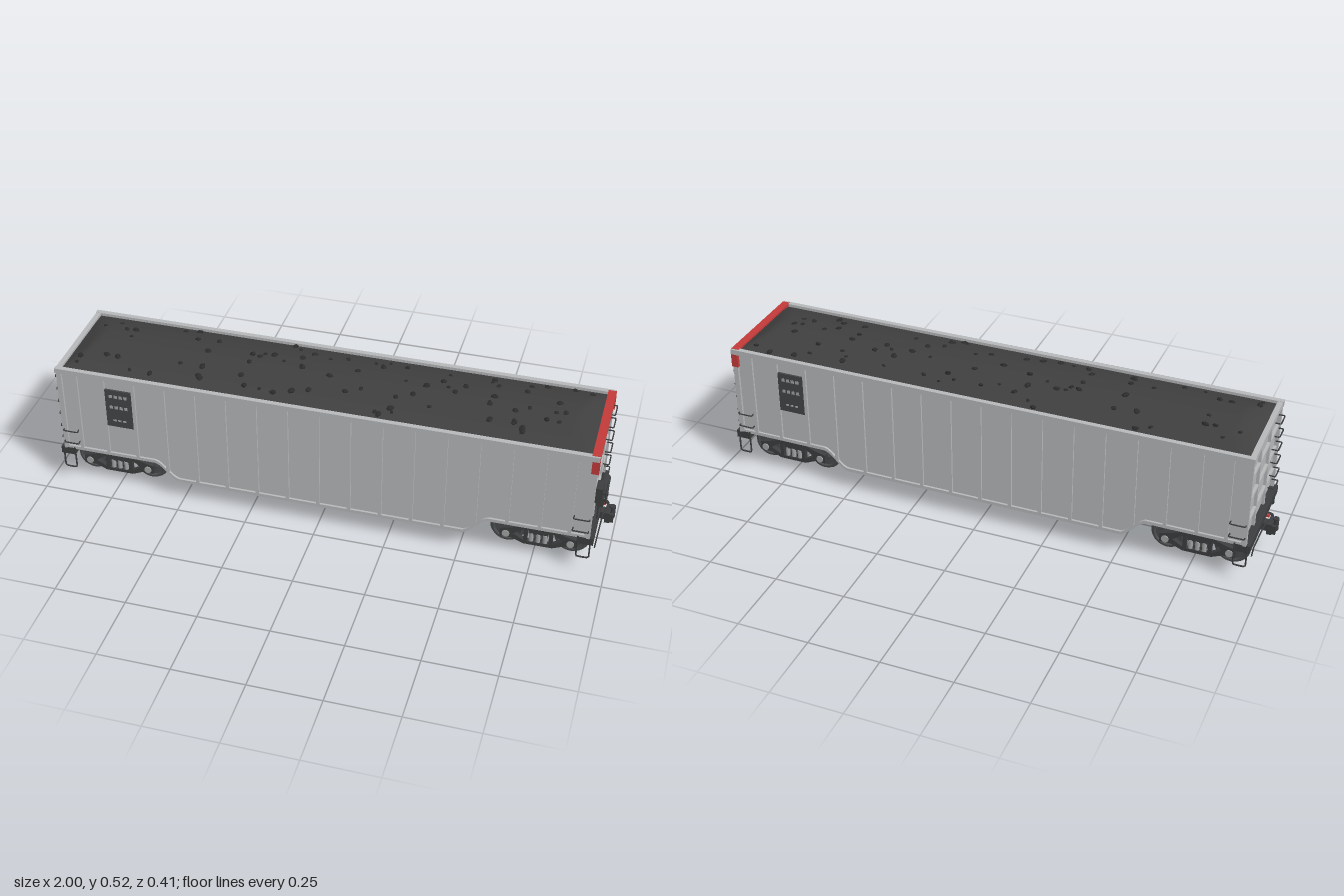
import * as THREE from 'three';
import { toCreasedNormals } from 'three/addons/utils/BufferGeometryUtils.js';

const mat = (name, color) => Object.assign(new THREE.MeshStandardMaterial({ color }), { name });
const M = {
  body: mat('body grey', 0xb6b8ba),
  iron: mat('dark iron', 0x3c3d3e),
  wheel: mat('wheel steel', 0x4a4b4c),
  coal: mat('coal', 0x3f3f3f),
  lump: mat('coal lumps', 0x2c2c2c),
  red: mat('red trim', 0xc23a3a),
  label: mat('panel charcoal', 0x434547),
  pale: mat('pale steel', 0xa2a3a4),
};

function add(parent, name, geo, material, x = 0, y = 0, z = 0) {
  const m = new THREE.Mesh(geo, material);
  m.name = name;
  m.position.set(x, y, z);
  parent.add(m);
  return m;
}

// box given by its limits on each axis
const box = (p, name, m, x0, x1, y0, y1, z0, z1) =>
  add(p, name, new THREE.BoxGeometry(x1 - x0, y1 - y0, z1 - z0), m, (x0 + x1) / 2, (y0 + y1) / 2, (z0 + z1) / 2);

// cylinder lying along z
const rodZ = (p, name, m, r, x, y, z0, z1, seg = 16) =>
  add(p, name, new THREE.CylinderGeometry(r, r, z1 - z0, seg).rotateX(Math.PI / 2), m, x, y, (z0 + z1) / 2);

function tube(p, name, m, r, pts, closed = false) {
  const curve = new THREE.CatmullRomCurve3(pts.map(a => new THREE.Vector3(...a)), closed, 'catmullrom', 0.1);
  return add(p, name, new THREE.TubeGeometry(curve, pts.length * 6, r, 6, closed), m);
}

const poly = pts => pts.map(([x, y]) => new THREE.Vector2(x, y));

// z-extrusion of an outline in x and y
function slab(pts, z0, z1, holes = []) {
  const s = new THREE.Shape(poly(pts));
  holes.forEach(h => s.holes.push(new THREE.Path(poly(h))));
  const g = new THREE.ExtrudeGeometry(s, { depth: z1 - z0, bevelEnabled: false });
  return toCreasedNormals(g.translate(0, 0, z0), 0.45);
}

// height of the dropped belly along the car
const belly = x => 0.08 + 0.067 * THREE.MathUtils.smoothstep(Math.abs(x), 0.505, 0.6);
const bellyLine = (half, lift = 0) => {
  const pts = [[-half, belly(half) + lift]];
  for (const s of [-1, 1])
    for (let i = 0; i <= 14; i++) {
      const x = s < 0 ? -0.605 + i * 0.0075 : 0.5 + i * 0.0075;
      pts.push([x, belly(x) + lift]);
    }
  pts.push([half, belly(half) + lift]);
  return pts;
};

// ribs, sill and marking panel of one side (facing +z)
function makeSide() {
  const g = new THREE.Group();
  g.name = 'side';
  add(g, 'bottomSill', slab([...bellyLine(0.935), ...bellyLine(0.935, 0.012).reverse()], 0.18, 0.192), M.body);
  const ribs = [-0.87, -0.77, 0.77, 0.87];
  for (let k = -6; k <= 6; k++) ribs.push(k * 0.11);
  for (const x of ribs) box(g, 'sideRib', M.body, x - 0.006, x + 0.006, belly(x) + 0.005, 0.475, 0.182, 0.192);
  for (const s of [-1, 1]) box(g, 'cornerPost', M.body, s * 0.93 - 0.009, s * 0.93 + 0.009, 0.147, 0.475, 0.178, 0.193);
  box(g, 'topChord', M.body, -0.942, 0.942, 0.47, 0.489, 0.179, 0.197);
  // marking panel with plain pale bars
  box(g, 'markingPanel', M.label, -0.765, -0.667, 0.278, 0.43, 0.183, 0.191);
  for (const [y, h, n] of [[0.405, 0.012, 4], [0.36, 0.012, 4], [0.305, 0.007, 3]])
    for (let i = 0; i < n; i++) {
      const x = -0.716 + (i - (n - 1) / 2) * 0.018;
      box(g, 'markingBar', M.pale, x - 0.006, x + 0.006, y - h / 2, y + h / 2, 0.19, 0.192);
    }
  return g;
}

// four-wheel truck centred on its own x = 0
function makeTruck() {
  const g = new THREE.Group();
  g.name = 'truck';
  const profile = poly([[0, -0.007], [0.018, -0.01], [0.024, -0.003], [0.045, -0.003], [0.05, -0.008],
    [0.062, -0.008], [0.062, -0.004], [0.056, -0.002], [0.055, 0.008], [0.048, 0.008], [0.044, 0.002],
    [0.024, 0.003], [0.018, 0.01], [0, 0.01]]);
  const wheelGeo = toCreasedNormals(new THREE.LatheGeometry(profile, 32).rotateX(Math.PI / 2), 0.5);
  for (const x of [-0.111, 0.111]) {
    rodZ(g, 'axle', M.wheel, 0.011, x, 0.062, -0.13, 0.13);
    for (const s of [-1, 1]) {
      add(g, 'wheel', wheelGeo, M.wheel, x, 0.062, s * 0.094).rotation.y = s < 0 ? Math.PI : 0;
      rodZ(g, 'journalCap', M.pale, 0.013, x, 0.062, s * 0.13 - 0.008, s * 0.13 + 0.008);
    }
  }
  const outline = [[-0.132, 0.047], [-0.09, 0.047], [-0.05, 0.03], [0.05, 0.03], [0.09, 0.047], [0.132, 0.047],
    [0.132, 0.08], [0.1, 0.088], [0.05, 0.106], [-0.05, 0.106], [-0.1, 0.088], [-0.132, 0.08]];
  const window3 = s => [[s * 0.086, 0.066], [s * 0.05, 0.091], [s * 0.05, 0.045]];
  const holes = [[[-0.037, 0.042], [0.037, 0.042], [0.037, 0.09], [-0.037, 0.09]], window3(1), window3(-1)];
  for (const s of [-1, 1]) {
    add(g, 'sideFrame', slab(outline, s * 0.125 - 0.009, s * 0.125 + 0.009, holes), M.iron);
    for (const x of [-0.024, 0, 0.024])
      add(g, 'spring', new THREE.CylinderGeometry(0.008, 0.008, 0.034, 10), M.pale, x, 0.059, s * 0.125);
  }
  box(g, 'truckBolster', M.iron, -0.034, 0.034, 0.074, 0.102, -0.13, 0.13);
  box(g, 'springPlank', M.iron, -0.03, 0.03, 0.04, 0.05, -0.12, 0.12);
  add(g, 'centrePlate', new THREE.CylinderGeometry(0.035, 0.035, 0.03, 20), M.iron, 0, 0.112, 0);
  for (const x of [-0.048, 0.048]) box(g, 'brakeBeam', M.iron, x - 0.006, x + 0.006, 0.05, 0.085, -0.083, 0.083);
  return g;
}

// everything that repeats at both ends, built for +x
function makeEnd() {
  const g = new THREE.Group();
  g.name = 'end';
  for (const z of [-0.065, 0.065]) box(g, 'endPost', M.body, 0.92, 0.935, 0.15, 0.475, z - 0.006, z + 0.006);
  for (const y of [0.223, 0.31, 0.395]) box(g, 'endRib', M.body, 0.92, 0.935, y - 0.005, y + 0.005, -0.185, 0.185);
  box(g, 'endTopChord', M.body, 0.922, 0.94, 0.47, 0.488, -0.193, 0.193);
  // ladder, grab irons and stirrups
  const rungs = [0.18, 0.23, 0.283, 0.335, 0.388, 0.44];
  for (const y of rungs)
    tube(g, 'ladderRung', M.iron, 0.0025, [[0.93, y, -0.12], [0.952, y, -0.12], [0.952, y, -0.175], [0.93, y, -0.175]]);
  for (const s of [-1, 1]) {
    for (const y of [0.18, 0.23])
      tube(g, 'grabIron', M.iron, 0.0025, [[0.88, y, s * 0.185], [0.88, y, s * 0.202], [0.932, y, s * 0.202], [0.932, y, s * 0.185]]);
    tube(g, 'stirrup', M.iron, 0.003, [[0.9, 0.155, s * 0.192], [0.9, 0.068, s * 0.192], [0.942, 0.068, s * 0.192], [0.942, 0.15, s * 0.192]]);
  }
  // end sill, draft beam and centre sill
  box(g, 'endSill', M.iron, 0.9, 0.952, 0.122, 0.15, -0.193, 0.193);
  add(g, 'draftBeam', slab([[-0.13, 0.124], [-0.05, 0.095], [0.05, 0.095], [0.13, 0.124]], 0.915, 0.94).rotateY(Math.PI / 2), M.iron);
  box(g, 'centreSill', M.iron, 0.57, 0.945, 0.118, 0.15, -0.03, 0.03);
  add(g, 'bodyBolster', slab([[-0.18, 0.148], [-0.18, 0.135], [-0.06, 0.115], [0.06, 0.115], [0.18, 0.135], [0.18, 0.148]], 0.712, 0.812)
    .rotateY(Math.PI / 2), M.iron);
  // coupler with knuckle
  box(g, 'couplerShank', M.iron, 0.93, 0.975, 0.1, 0.128, -0.016, 0.016);
  box(g, 'couplerHead', M.iron, 0.968, 0.985, 0.094, 0.134, -0.028, 0.026);
  box(g, 'couplerGuard', M.iron, 0.983, 0.998, 0.098, 0.13, 0.014, 0.026);
  add(g, 'knuckle', new THREE.CylinderGeometry(0.011, 0.011, 0.046, 12), M.iron, 0.989, 0.114, -0.017);
  // uncoupling lever, brake hose and its valve
  tube(g, 'uncouplingLever', M.iron, 0.0025, [[0.957, 0.105, 0.18], [0.96, 0.136, 0.17], [0.962, 0.136, 0.04], [0.972, 0.138, 0.005]]);
  tube(g, 'brakeHose', M.iron, 0.005, [[0.945, 0.128, -0.052], [0.968, 0.122, -0.053], [0.972, 0.1, -0.055], [0.966, 0.09, -0.057]]);
  box(g, 'hoseValve', M.red, 0.95, 0.962, 0.118, 0.126, -0.048, -0.038);
  const truck = makeTruck();
  truck.position.x = 0.762;
  g.add(truck);
  return g;
}

// hand brake, air tank and red trim at the +x end only
function makeBrakeEnd() {
  const g = new THREE.Group();
  g.name = 'brakeEnd';
  box(g, 'redTopBar', M.red, 0.915, 0.943, 0.472, 0.4895, -0.19, 0.19);
  for (const s of [-1, 1]) box(g, 'redCorner', M.red, 0.918, 0.943, 0.42, 0.473, s * 0.187 - 0.0085, s * 0.187 + 0.0085);
  box(g, 'brakeGearBox', M.iron, 0.925, 0.958, 0.242, 0.302, 0.066, 0.116);
  const wheel = new THREE.Group();
  wheel.name = 'brakeWheel';
  wheel.position.set(0.97, 0.27, 0.091);
  add(wheel, 'brakeWheelRim', new THREE.TorusGeometry(0.034, 0.0028, 8, 32).rotateY(Math.PI / 2), M.iron);
  for (const a of [-1, 1]) add(wheel, 'brakeWheelSpoke', new THREE.BoxGeometry(0.004, 0.066, 0.006), M.iron).rotation.x = a * Math.PI / 4;
  add(wheel, 'brakeWheelHub', new THREE.CylinderGeometry(0.007, 0.007, 0.02, 12).rotateZ(Math.PI / 2), M.iron, -0.005);
  g.add(wheel);
  box(g, 'brakeRod', M.iron, 0.944, 0.949, 0.14, 0.245, 0.078, 0.083);
  box(g, 'brakeValve', M.iron, 0.93, 0.96, 0.17, 0.204, 0.007, 0.041);
  box(g, 'valvePipe', M.iron, 0.943, 0.947, 0.145, 0.172, 0.023, 0.027);
  rodZ(g, 'pistonRod', M.iron, 0.004, 0.947, 0.188, -0.012, 0.01, 10);
  rodZ(g, 'brakeCylinder', M.iron, 0.019, 0.947, 0.188, -0.101, -0.009, 24);
  return g;
}

// heaped load with scattered lumps
function makeLoad() {
  const g = new THREE.Group();
  g.name = 'coalLoad';
  const height = (x, z) => 0.478 + 0.036 * Math.min(1 - (z / 0.18) ** 2, Math.max(0, (0.925 - Math.abs(x)) / 0.07));
  const geo = new THREE.PlaneGeometry(1.85, 0.36, 80, 20).rotateX(-Math.PI / 2);
  const p = geo.attributes.position;
  for (let i = 0; i < p.count; i++) p.setY(i, height(p.getX(i), p.getZ(i)));
  geo.computeVertexNormals();
  add(g, 'coalHeap', geo, M.coal);
  let seed = 7;
  const rnd = () => (seed = (seed * 16807) % 2147483647) / 2147483647;
  const lump = new THREE.DodecahedronGeometry(1);
  for (let i = 0; i < 85; i++) {
    const x = (rnd() * 2 - 1) * 0.88, z = (rnd() * 2 - 1) * 0.165, r = 0.006 + rnd() * 0.006;
    const m = add(g, 'coalLump', lump, M.lump, x, height(x, z), z);
    m.scale.set(r * 1.3, r * 0.7, r);
    m.rotation.set(rnd() * 0.6, rnd() * 6, rnd() * 0.6);
  }
  return g;
}

export function createModel() {
  const car = new THREE.Group();
  car.name = 'coalGondola';
  const hull = [...bellyLine(0.925), [0.925, 0.476], [-0.925, 0.476]];
  add(car, 'hull', slab(hull, -0.184, 0.184), M.body);
  box(car, 'bellySeam', M.iron, -0.5, 0.5, 0.077, 0.081, -0.006, 0.006);
  for (const turn of [0, Math.PI])
    for (const part of [makeSide(), makeEnd()]) {
      part.rotation.y = turn;
      car.add(part);
    }
  car.add(makeBrakeEnd(), makeLoad());
  return car;
}
